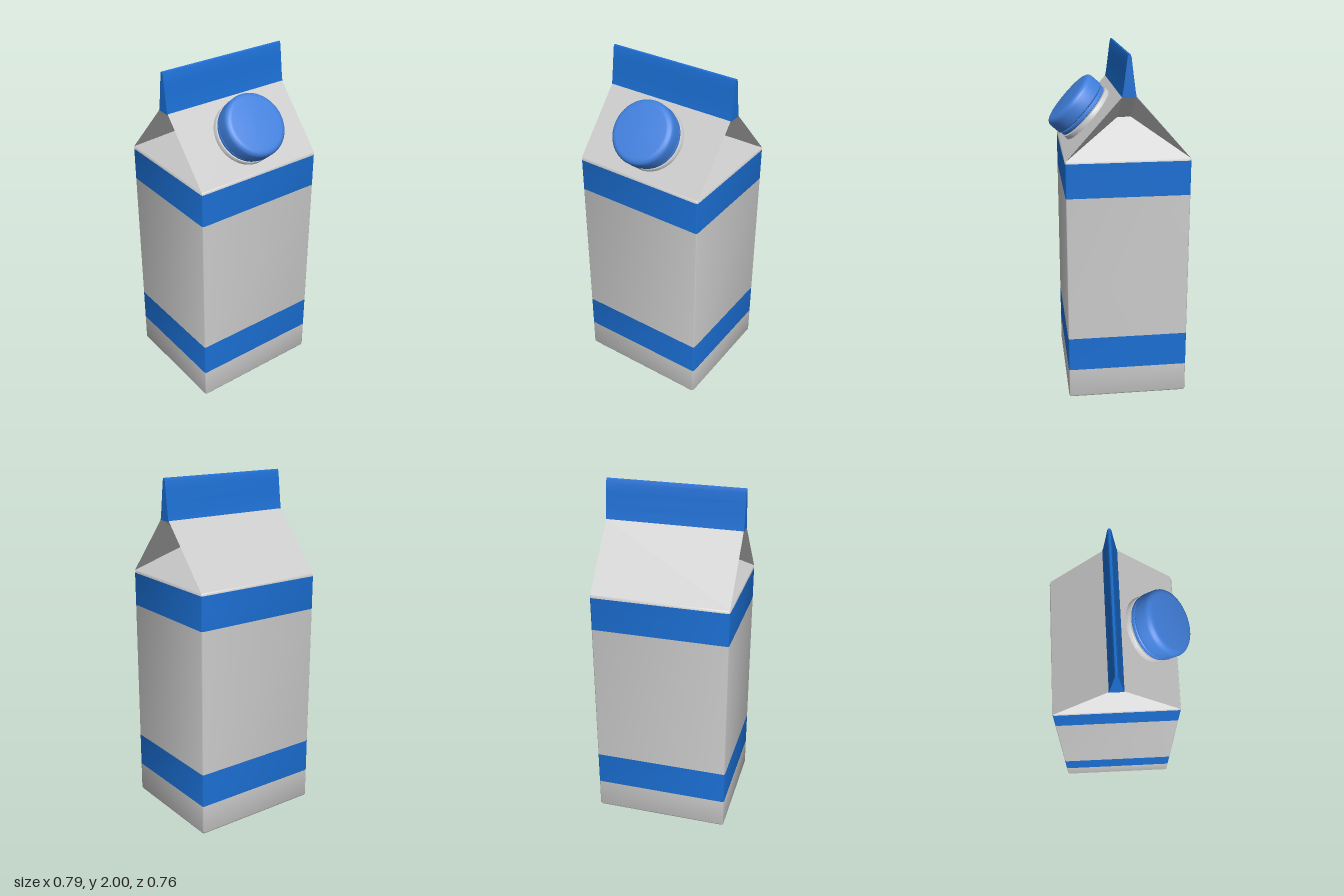
import * as THREE from 'three';
import { toCreasedNormals } from 'three/addons/utils/BufferGeometryUtils.js';

const W = 0.395, D = 0.346, ZC = -0.031;       // half width, half depth, centre of the carton in z
const EAVE = 1.435, RIDGE = 1.775;             // roof start and end heights

const paper = new THREE.MeshStandardMaterial({ color: 0xcccccc });
const paperThin = new THREE.MeshStandardMaterial({ color: 0xcccccc, side: THREE.DoubleSide });
const blue = new THREE.MeshStandardMaterial({ color: 0x1b6fd4 });
const capBlue = new THREE.MeshStandardMaterial({ color: 0x4180dd });

function add(parent, name, geometry, material) {
  const mesh = new THREE.Mesh(geometry, material);
  mesh.name = name;
  parent.add(mesh);
  return mesh;
}

// Counter-clockwise (seen from above) rounded rectangle as [x, z] pairs
function ring(inset) {
  const r = 0.012, pts = [];
  const corners = [[1, 1], [1, -1], [-1, -1], [-1, 1]];
  corners.forEach(([sx, sz], c) => {
    for (let i = 0; i <= 4; i++) {
      const a = Math.PI / 2 - (c + i / 4) * Math.PI / 2 + 0;
      pts.push([sx * (W - r - inset) + r * Math.cos(a), sz * (D - r - inset) + r * Math.sin(a)]);
    }
  });
  return pts;
}

// Walls through stacked rings given as [y, inset], with an optional floor
function walls(levels, floor) {
  const pos = [], idx = [], n = 20;
  levels.forEach(([y, inset]) => ring(inset).forEach(([x, z]) => pos.push(x, y, z)));
  for (let l = 0; l < levels.length - 1; l++) {
    for (let i = 0; i < n; i++) {
      const a = l * n + i, b = l * n + (i + 1) % n;
      idx.push(a, b, b + n, a, b + n, a + n);
    }
  }
  if (floor) for (let i = 1; i < n - 1; i++) idx.push(0, i + 1, i);
  // Corners run from front-left round to back, so the outward side is a, b, b + n
  const g = new THREE.BufferGeometry();
  g.setAttribute('position', new THREE.Float32BufferAttribute(pos, 3));
  g.setIndex(idx);
  return toCreasedNormals(g, 0.7);
}

// Flat polygon fan; reversed when the mirroring turns it inside out
function polygon(out, pts, flip) {
  for (let i = 1; i < pts.length - 1; i++) {
    const t = [pts[0], pts[i], pts[i + 1]];
    (flip ? t.reverse() : t).forEach(p => out.push(...p));
  }
}

function flatGeometry(pos) {
  const g = new THREE.BufferGeometry();
  g.setAttribute('position', new THREE.Float32BufferAttribute(pos, 3));
  g.computeVertexNormals();
  return g;
}

function createRoof() {
  const roof = new THREE.Group();
  roof.name = 'roof';
  const w = W - 0.002, d = D - 0.006, t = 0.038;
  const foldX = w - 0.2, foldY = 1.63;          // inner fold of the side gussets
  for (const s of [1, -1]) {
    // Sloping panel
    const panel = [];
    polygon(panel, [[-w, EAVE, s * d], [w, EAVE, s * d], [w, RIDGE, s * t], [-w, RIDGE, s * t]], s < 0);
    add(roof, s > 0 ? 'frontRoofPanel' : 'backRoofPanel', flatGeometry(panel), paperThin);

    // Tucked-in side gusset: leaning triangle, two folded flaps and the strip under the fin
    const g = [];
    polygon(g, [[s * w, EAVE, d], [s * w, EAVE, -d], [s * foldX, foldY, -t], [s * foldX, foldY, t]], s < 0);
    for (const k of [1, -1]) {
      polygon(g, [[s * w, EAVE, k * d], [s * foldX, foldY, k * t], [s * w, RIDGE, k * t]], s * k < 0);
    }
    polygon(g, [[s * foldX, foldY, t], [s * foldX, foldY, -t], [s * w, RIDGE, -t], [s * w, RIDGE, t]], s < 0);
    add(roof, s > 0 ? 'leftGusset' : 'rightGusset', flatGeometry(g), paperThin);
  }
  return roof;
}

// Tapered sealed fin, extruded along x
function createFin() {
  const side = [[0.04, 1.77], [0.034, 1.80], [0.026, 1.86], [0.017, 1.93], [0.011, 1.98], [0.006, 1.996], [0, 2]];
  const outline = [...side, ...side.slice(0, -1).reverse().map(([z, y]) => [-z, y])];
  const shape = new THREE.Shape(outline.map(([z, y]) => new THREE.Vector2(z, y)));
  const g = new THREE.ExtrudeGeometry(shape, { depth: 2 * W, bevelEnabled: false });
  g.translate(0, 0, -W).rotateY(Math.PI / 2);
  return toCreasedNormals(g, 0.6);
}

function lathe(points) {
  const g = new THREE.LatheGeometry(points.map(([r, y]) => new THREE.Vector2(r, y)), 64);
  return toCreasedNormals(g, 0.6);
}

// Screw cap standing square on the front roof panel
function createSpout() {
  const spout = new THREE.Group();
  spout.name = 'spout';
  add(spout, 'spoutFlange', lathe([[0.182, -0.01], [0.182, 0.022], [0.178, 0.028], [0.15, 0.028], [0.15, 0.07]]), paper);
  add(spout, 'sealRing', lathe([[0.15, 0.034], [0.174, 0.034], [0.177, 0.038], [0.177, 0.052], [0.174, 0.056], [0.15, 0.056]]), capBlue);
  add(spout, 'screwCap', lathe([
    [0.15, 0.062], [0.178, 0.062], [0.183, 0.067], [0.183, 0.128], [0.180, 0.140],
    [0.173, 0.150], [0.162, 0.156], [0.148, 0.158], [0, 0.158],
  ]), capBlue);
  spout.position.set(0, 1.607, 0.184);
  spout.rotation.x = Math.atan2(RIDGE - EAVE, D - 0.044);
  return spout;
}

export function createModel() {
  const model = new THREE.Group();
  model.name = 'carton';
  const carton = new THREE.Group();
  carton.name = 'cartonBody';
  carton.position.z = ZC;
  model.add(carton);

  // Straight walls, split by colour
  add(carton, 'base', walls([[0, 0.012], [0.004, 0.004], [0.012, 0], [0.18, 0]], true), paper);
  add(carton, 'lowerBand', walls([[0.18, 0], [0.38, 0]]), blue);
  add(carton, 'middleWall', walls([[0.38, 0], [1.225, 0]]), paper);
  add(carton, 'upperBand', walls([[1.225, 0], [1.42, 0]]), blue);
  add(carton, 'shoulder', walls([[1.42, 0], [1.43, 0.002], [1.437, 0.008]]), paper);

  carton.add(createRoof());
  add(carton, 'topFin', createFin(), blue);
  carton.add(createSpout());
  return model;
}
